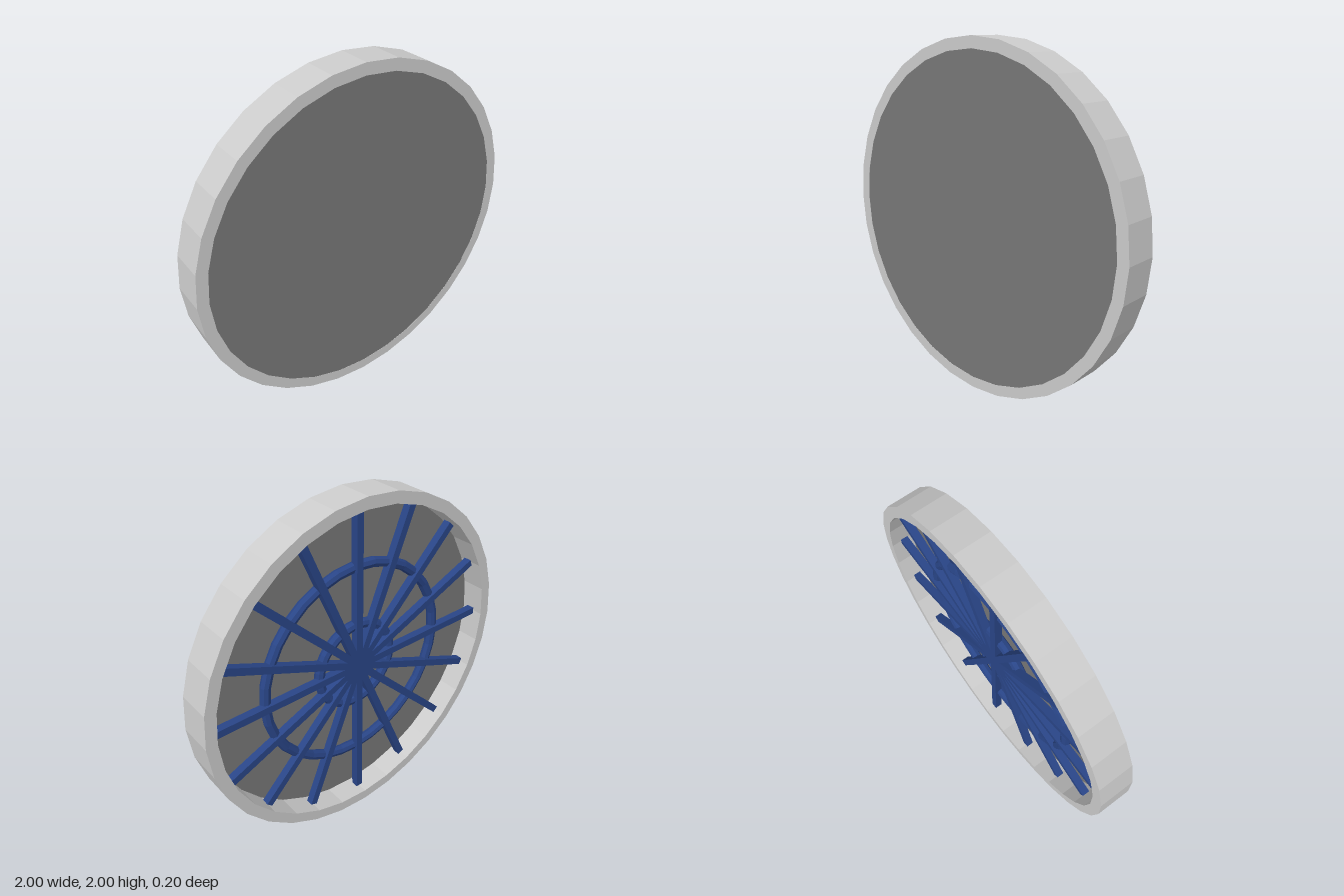
import * as THREE from 'three';

const SIDES = 32;
const RIM_INNER = 0.935;

export function createModel() {
  const model = new THREE.Group();
  const material = (color) => new THREE.MeshStandardMaterial({ color, flatShading: true });
  const grey = material(0xcccccc);
  const darkGrey = material(0x777777);
  const blue = material(0x294587);

  const add = (name, geometry, mat, z = 0) => {
    const mesh = new THREE.Mesh(geometry, mat);
    mesh.name = name;
    mesh.position.set(0, 1, z);
    model.add(mesh);
    return mesh;
  };

  // Faceted outer rim, a closed rectangular section turned about z
  const section = [[RIM_INNER, -0.1], [1, -0.1], [1, 0.1], [RIM_INNER, 0.1], [RIM_INNER, -0.1]];
  const rim = new THREE.LatheGeometry(section.map(([r, y]) => new THREE.Vector2(r, y)), SIDES);
  add('rim', rim.rotateX(Math.PI / 2), grey);

  // Front panel, flush with the front of the rim
  const panel = new THREE.CylinderGeometry(RIM_INNER, RIM_INNER, 0.06, SIDES);
  add('frontPanel', panel.rotateX(Math.PI / 2), darkGrey, 0.069);

  // Bracing rings behind the panel
  add('innerRing', new THREE.TorusGeometry(0.25, 0.03, 8, SIDES), blue);
  add('outerRing', new THREE.TorusGeometry(0.6, 0.03, 8, SIDES), blue);

  // Eight full-width bars crossing at the centre, making sixteen spokes
  for (let i = 0; i < 8; i++) {
    const bar = add('spokeBar', new THREE.BoxGeometry(1.86, 0.042, 0.045), blue, -0.02);
    bar.rotation.z = (i * Math.PI) / 8;
  }

  return model;
}
